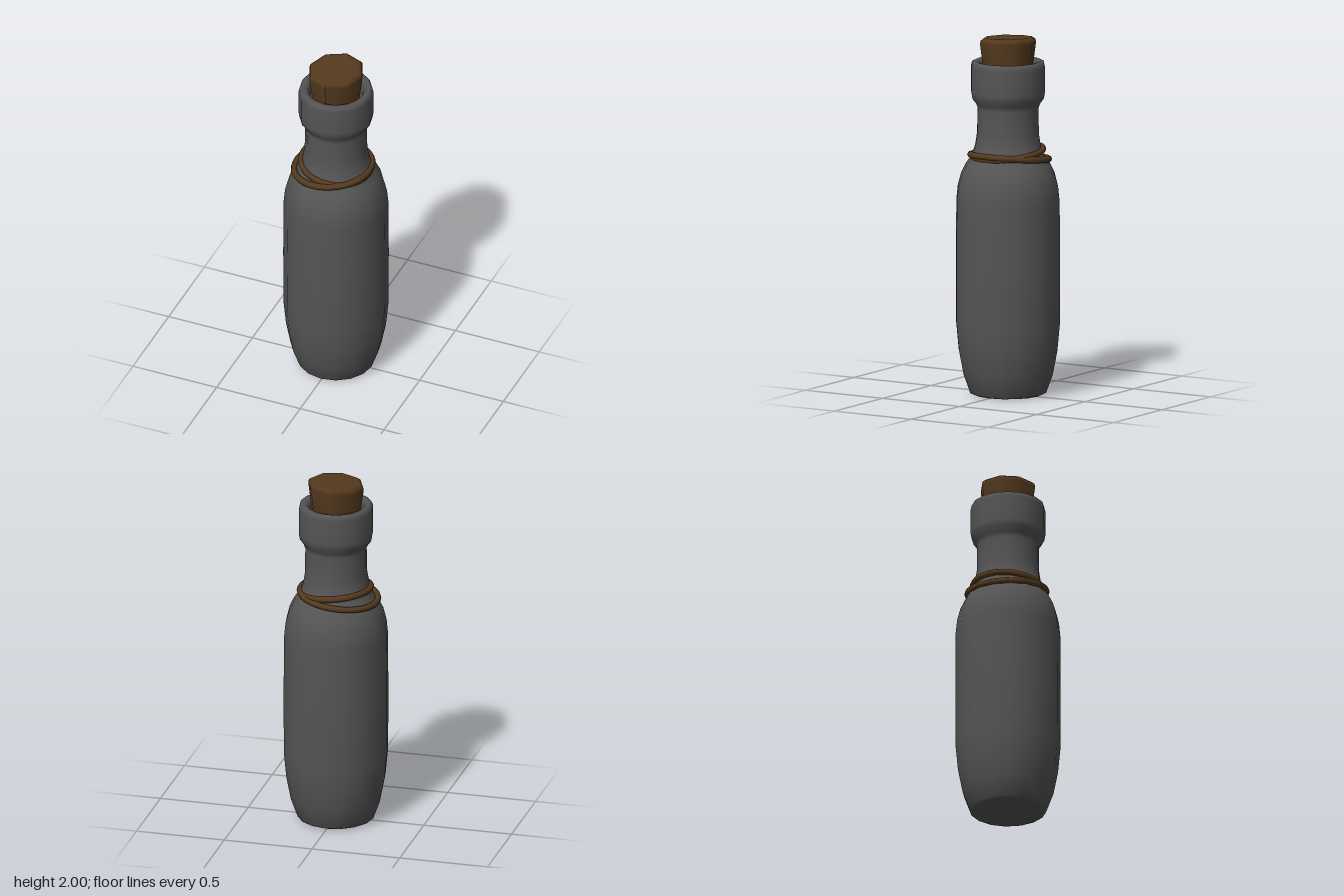
import * as THREE from 'three';

const glass = new THREE.MeshStandardMaterial({ color: 0x555555 });
const brown = new THREE.MeshStandardMaterial({ color: 0x553a1e });

function addMesh(group, name, geometry, material) {
  const mesh = new THREE.Mesh(geometry, material);
  mesh.name = name;
  group.add(mesh);
  return mesh;
}

function lathe(profile, sides) {
  return new THREE.LatheGeometry(profile.map(([r, y]) => new THREE.Vector2(r, y)), sides);
}

export function createModel() {
  const model = new THREE.Group();
  model.name = 'corkedBottle';

  // Bottle body, neck, lip and inside of the mouth
  addMesh(model, 'bottle', lathe([
    [0, 0.005], [0.19, 0.005], [0.212, 0.015], [0.25, 0.12], [0.275, 0.25], [0.289, 0.4],
    [0.29, 0.75], [0.288, 1.08], [0.28, 1.16], [0.262, 1.23], [0.235, 1.285], [0.203, 1.33],
    [0.183, 1.39], [0.172, 1.46], [0.17, 1.6], [0.178, 1.625], [0.2, 1.655], [0.206, 1.69],
    [0.206, 1.83], [0.2, 1.855], [0.185, 1.862], [0.16, 1.855], [0.148, 1.83], [0.14, 1.7], [0, 1.7],
  ], 16), glass);

  // Tapered cork with a slightly uneven, dished top
  const cork = lathe([
    [0, 1.72], [0.125, 1.72], [0.145, 1.86], [0.158, 1.96], [0.154, 1.978], [0.135, 1.991], [0, 1.982],
  ], 8);
  const p = cork.attributes.position;
  for (let i = 0; i < p.count; i++) {
    if (p.getY(i) > 1.95) p.setY(i, p.getY(i) + 0.045 * p.getX(i) - 0.045 * p.getZ(i));
  }
  // Keep the highest rim point at the overall height
  let top = 0;
  for (let i = 0; i < p.count; i++) top = Math.max(top, p.getY(i));
  for (let i = 0; i < p.count; i++) {
    if (p.getY(i) > 1.95) p.setY(i, p.getY(i) + 2 - top);
  }
  cork.computeVertexNormals();
  addMesh(model, 'cork', cork, brown);

  // Two loops of cord, tilted against each other around the neck
  const cords = [
    { name: 'lowerCord', radius: 0.216, x: -0.017, y: 1.324, tiltX: 0, tiltZ: 0.11 },
    { name: 'upperCord', radius: 0.194, x: 0.002, y: 1.352, tiltX: 0.05, tiltZ: -0.11 },
  ];
  for (const c of cords) {
    const ring = new THREE.TorusGeometry(c.radius, 0.018, 8, 40).rotateX(Math.PI / 2);
    const cord = addMesh(model, c.name, ring, brown);
    cord.position.set(c.x, c.y, 0);
    cord.rotation.set(c.tiltX, 0, c.tiltZ);
  }

  return model;
}
